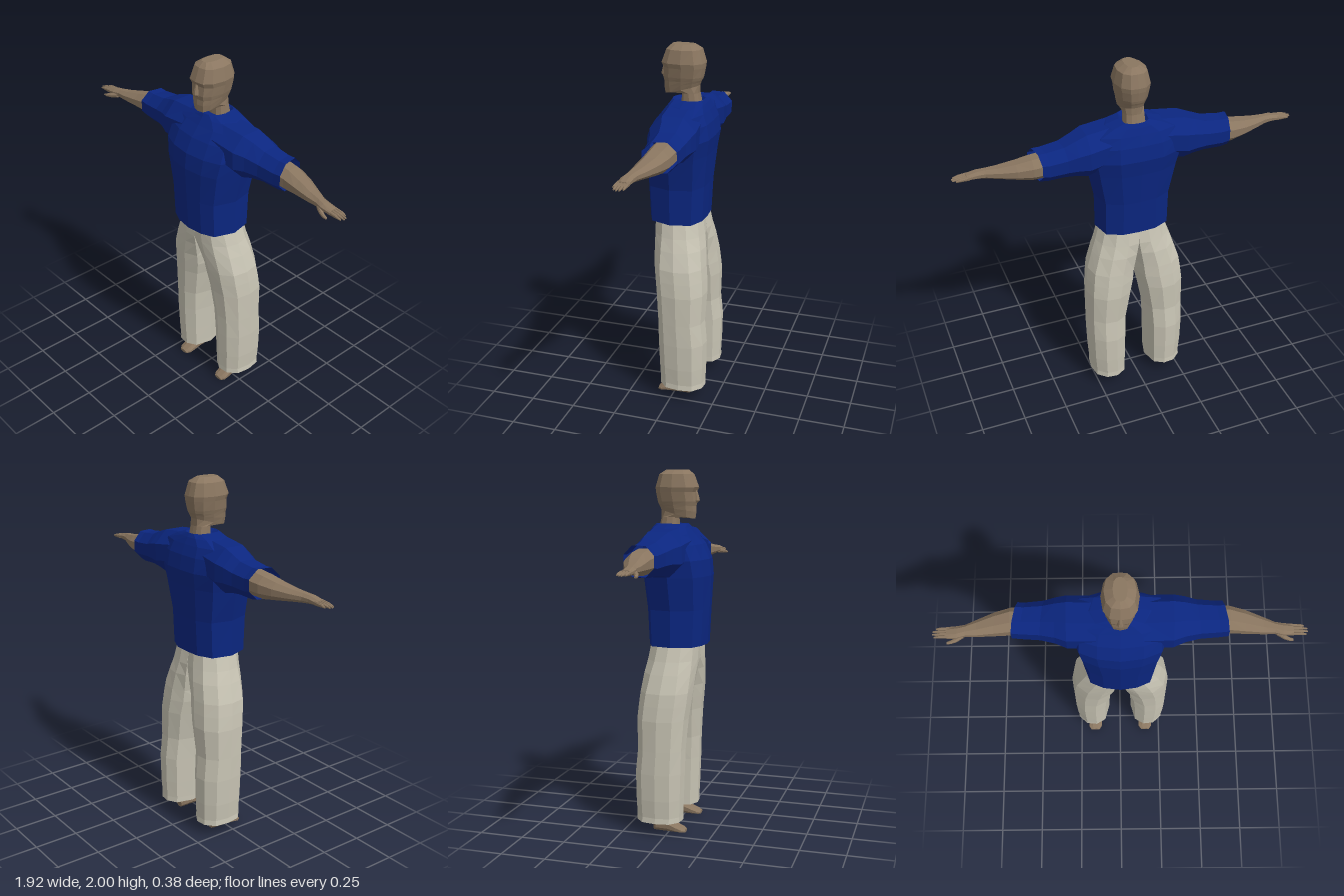
import * as THREE from 'three';

const mat = (name, color, side = THREE.FrontSide) => {
  const m = new THREE.MeshStandardMaterial({ color, flatShading: true, side });
  m.name = name;
  return m;
};

// Skin a list of rings (equal point counts), optionally closing the ends.
function loft(name, rings, material, capStart = true, capEnd = true) {
  const n = rings[0].length, pos = rings.flat().flatMap(p => [...p]), idx = [];
  for (let r = 0; r < rings.length - 1; r++)
    for (let i = 0; i < n; i++) {
      const a = r * n + i, b = r * n + (i + 1) % n;
      idx.push(a, b, b + n, a, b + n, a + n);
    }
  const cap = (r, flip) => {
    const c = pos.length / 3;
    for (let k = 0; k < 3; k++) pos.push(rings[r].reduce((s, p) => s + p[k], 0) / n);
    for (let i = 0; i < n; i++) {
      const a = r * n + i, b = r * n + (i + 1) % n;
      idx.push(...(flip ? [b, a, c] : [a, b, c]));
    }
  };
  if (capStart) cap(0, true);
  if (capEnd) cap(rings.length - 1, false);

  // Turn the faces outward, whichever way the rings run.
  const v = i => new THREE.Vector3().fromArray(pos, i * 3);
  const mid = new THREE.Vector3();
  for (let i = 0; i < pos.length / 3; i++) mid.add(v(i));
  mid.divideScalar(pos.length / 3);
  let volume = 0;
  for (let i = 0; i < idx.length; i += 3) {
    const [a, b, c] = [0, 1, 2].map(k => v(idx[i + k]).sub(mid));
    volume += a.dot(b.cross(c));
  }
  if (volume < 0) idx.reverse();

  const g = new THREE.BufferGeometry();
  g.setAttribute('position', new THREE.Float32BufferAttribute(pos, 3));
  g.setIndex(idx);
  g.computeVertexNormals();
  const mesh = new THREE.Mesh(g, material);
  mesh.name = name;
  return mesh;
}

// Unit outlines; the half outline is mirrored to a full one.
const mirrorOutline = half => [...half, ...half.slice(1, -1).reverse().map(([x, z]) => [-x, z])];
const TORSO = mirrorOutline([[0, 1], [0.45, 0.92], [0.8, 0.72], [1, 0], [0.87, -0.72], [0.45, -0.97], [0, -1]]);
const HEAD = mirrorOutline([[0, 1], [0.55, 0.93], [0.88, 0.6], [1, -0.05], [0.85, -0.65], [0.45, -0.96], [0, -1]]);
const OCT = [[0.45, 1], [1, 0.4], [1, -0.4], [0.45, -1], [-0.45, -1], [-1, -0.4], [-1, 0.4], [-0.45, 1]];

// Horizontal ring between front and back depth, tilted along z.
const ringY = (outline, y, rx, zf, zb, tilt = 0, cx = 0) => outline.map(([u, v]) => {
  const z = (zf + zb) / 2 + v * (zf - zb) / 2;
  return [cx + u * rx, y + tilt * z, z];
});
// Ring across an arm, slanted along z; s picks the side.
const ringX = (s, x, y0, y1, zf, zb, slant = 0) => OCT.map(([u, v]) => {
  const z = (zf + zb) / 2 + u * (zf - zb) / 2;
  return [s * (x + slant * z), (y0 + y1) / 2 + v * (y1 - y0) / 2, z];
});
// Ring across a foot.
const ringZ = (cx, z, rx, y1) => OCT.map(([u, v]) => [cx + u * rx, (v + 1) * y1 / 2, z]);

// Trouser outlines: flat inner side at the hip, round further down.
const HIP = [[0, 0.98], [0.3, 1], [0.65, 0.9], [0.92, 0.5], [1, 0], [0.92, -0.5], [0.65, -0.9], [0.3, -1], [0, -0.95], [0, 0]];
const LEG = [[0.13, 0.75], [0.4, 1], [0.7, 0.95], [0.94, 0.6], [1, 0], [0.94, -0.6], [0.7, -0.95], [0.4, -1], [0.13, -0.75], [0, 0]];
const ringLeg = (s, y, xi, xo, zf, zb, t) => HIP.map(([u, v], i) => {
  const a = u + (LEG[i][0] - u) * t, b = v + (LEG[i][1] - v) * t;
  return [s * (xi + a * (xo - xi)), y, (zf + zb) / 2 + b * (zf - zb) / 2];
});

export function createModel() {
  const model = new THREE.Group();
  model.name = 'standingMan';
  const skin = mat('skin', 0x8a7660);
  const shirt = mat('shirtBlue', 0x0b2680, THREE.DoubleSide);
  const cloth = mat('trouserBeige', 0xc8c4b4, THREE.DoubleSide);

  // Shirt body, open at the hem
  model.add(loft('shirtBody', [
    [1.05, 0.205, 0.172, -0.14], [1.25, 0.207, 0.182, -0.15], [1.43, 0.245, 0.19, -0.168],
    [1.52, 0.265, 0.18, -0.182], [1.6, 0.26, 0.14, -0.168], [1.655, 0.235, 0.095, -0.145],
    [1.69, 0.15, 0.07, -0.128], [1.71, 0.075, 0.058, -0.115], [1.695, 0.06, 0.03, -0.1],
  ].map(r => ringY(TORSO, ...r)), shirt, false, true));

  // Head and neck
  model.add(loft('head', [
    [1.66, 0.064, 0.005, -0.105], [1.745, 0.057, 0.003, -0.088], [1.762, 0.06, 0.097, -0.09, -0.26],
    [1.79, 0.068, 0.102, -0.098, -0.15], [1.81, 0.073, 0.101, -0.104, -0.05], [1.83, 0.079, 0.107, -0.109],
    [1.88, 0.088, 0.102, -0.118], [1.905, 0.094, 0.114, -0.12], [1.975, 0.078, 0.088, -0.1], [2.0, 0.035, 0.06, -0.065],
  ].map(r => ringY(HEAD, ...r)), skin));
  model.add(loft('nose', [
    [1.822, 0.012, 0.11, 0.09], [1.835, 0.016, 0.122, 0.09], [1.86, 0.011, 0.117, 0.09], [1.89, 0.007, 0.107, 0.09],
  ].map(r => ringY(OCT, ...r)), skin));

  for (const s of [1, -1]) {
    const side = s > 0 ? 'left' : 'right';

    // Sleeve, open at the cuff
    model.add(loft(side + 'Sleeve', [
      [0.12, 1.47, 1.69, 0.11, -0.14], [0.27, 1.437, 1.676, 0.1, -0.152], [0.33, 1.452, 1.655, 0.075, -0.145],
      [0.4, 1.458, 1.63, 0.055, -0.135, 0.1], [0.5, 1.455, 1.618, 0.045, -0.13, 0.15], [0.545, 1.463, 1.62, 0.042, -0.13, 0.18],
    ].map(r => ringX(s, ...r)), shirt, true, false));

    // Bare arm and palm
    model.add(loft(side + 'Arm', [
      [0.44, 1.475, 1.6, 0.03, -0.115], [0.56, 1.472, 1.588, 0.026, -0.108], [0.64, 1.482, 1.57, 0.03, -0.088],
      [0.73, 1.492, 1.552, 0.034, -0.052], [0.79, 1.497, 1.545, 0.034, -0.026], [0.83, 1.5, 1.54, 0.044, -0.02],
      [0.885, 1.504, 1.528, 0.042, -0.018],
    ].map(r => ringX(s, ...r)), skin));

    // Fingers and thumb
    [0.94, 0.957, 0.96, 0.95].forEach((tip, i) => {
      const z = -0.011 + i * 0.015;
      model.add(loft(side + 'Finger' + (i + 1), [
        [0.87, 1.505, 1.527, z + 0.007, z - 0.007], [0.92, 1.506, 1.522, z + 0.007, z - 0.007],
        [tip, 1.506, 1.513, z + 0.004, z - 0.004],
      ].map(r => ringX(s, ...r)), skin));
    });
    model.add(loft(side + 'Thumb', [
      [0.8, 1.497, 1.525, 0.038, 0.014], [0.835, 1.492, 1.518, 0.058, 0.034],
      [0.865, 1.49, 1.508, 0.066, 0.048], [0.885, 1.492, 1.502, 0.066, 0.054],
    ].map(r => ringX(s, ...r)), skin));

    // Trouser leg, open at the hem
    model.add(loft(side + 'TrouserLeg', [
      [1.1, 0, 0.17, 0.125, -0.115, 0], [1.05, 0, 0.188, 0.135, -0.132, 0], [0.97, 0, 0.212, 0.133, -0.145, 0.05],
      [0.9, 0, 0.237, 0.128, -0.157, 0.45], [0.8, 0, 0.268, 0.118, -0.167, 0.9], [0.73, 0.003, 0.277, 0.11, -0.174, 1],
      [0.65, 0.022, 0.285, 0.1, -0.18, 1], [0.48, 0.054, 0.285, 0.088, -0.173, 1], [0.35, 0.062, 0.285, 0.085, -0.186, 1],
      [0.2, 0.066, 0.28, 0.08, -0.184, 1], [0.1, 0.069, 0.272, 0.076, -0.18, 1], [0.07, 0.069, 0.275, 0.076, -0.182, 1],
    ].map(r => ringLeg(s, ...r)), cloth, false, false));

    // Foot and shin
    model.add(loft(side + 'Foot', [
      [-0.092, 0.022, 0.04], [-0.075, 0.032, 0.062], [-0.01, 0.036, 0.068], [0.04, 0.041, 0.045],
      [0.075, 0.04, 0.028], [0.094, 0.026, 0.018],
    ].map(([z, rx, y1]) => ringZ(s * (0.159 + z * 0.03), z, rx, y1)), skin));
    model.add(loft(side + 'Shin', [
      [0.035, 0.034, 0.012, -0.088], [0.1, 0.032, -0.005, -0.085], [0.25, 0.042, 0.01, -0.11], [0.42, 0.05, 0.02, -0.11],
    ].map(([y, rx, zf, zb]) => ringY(OCT, y, rx, zf, zb, 0, s * 0.16)), skin));
  }
  return model;
}
